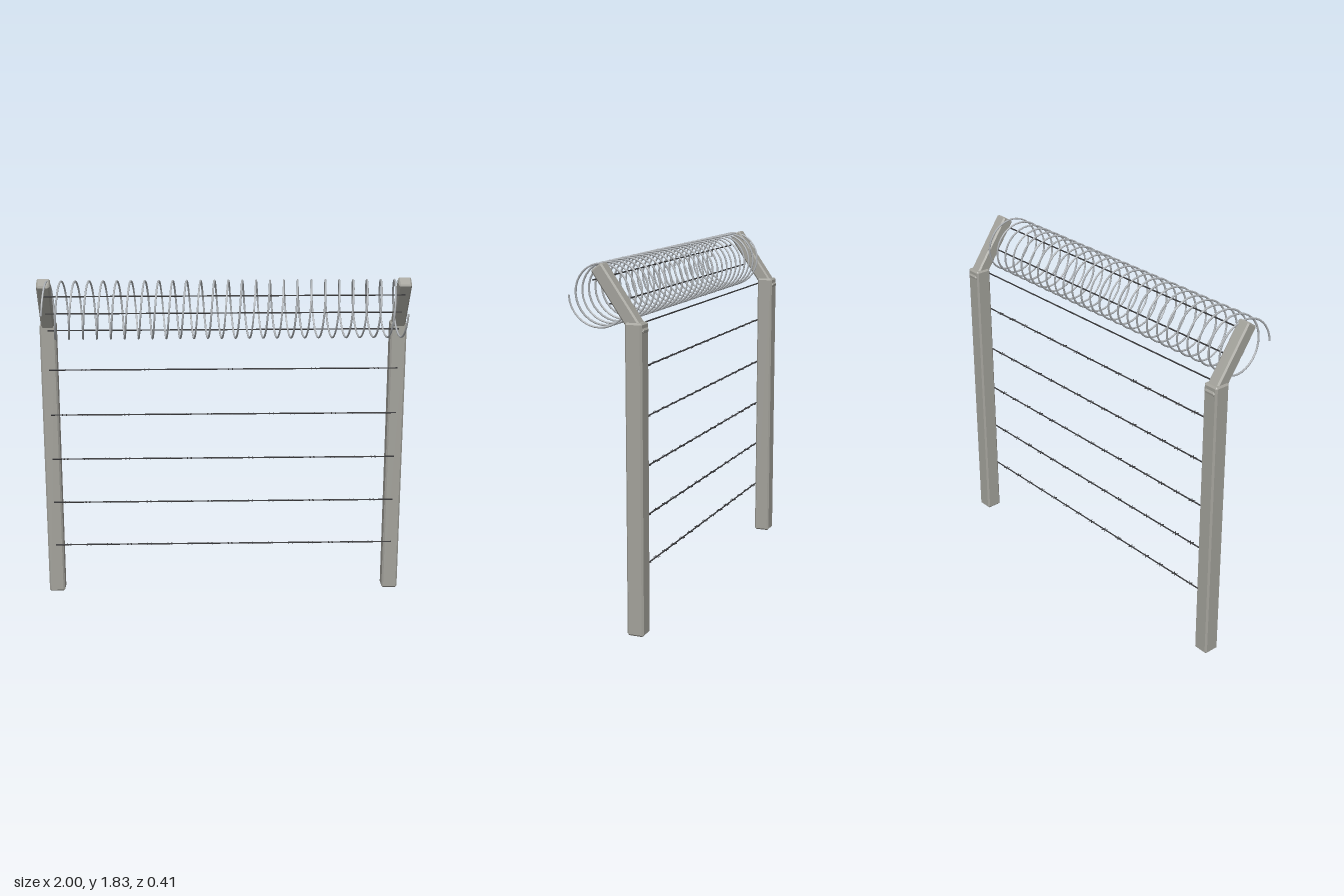
import * as THREE from 'three';
import { ConvexGeometry } from 'three/addons/geometries/ConvexGeometry.js';

const POST_X = 0.956;
const WIRE_END = 0.955;

function makeMaterial(name, color, side = THREE.FrontSide) {
  const material = new THREE.MeshStandardMaterial({ color, side });
  material.name = name;
  return material;
}
const concrete = makeMaterial('concrete', 0xa3a29b);
const darkSteel = makeMaterial('darkSteel', 0x3a3a3c);
const brightSteel = makeMaterial('brightSteel', 0xb0b4b8, THREE.DoubleSide);

function add(parent, name, geometry, material, x = 0, y = 0, z = 0) {
  const mesh = new THREE.Mesh(geometry, material);
  mesh.name = name;
  mesh.position.set(x, y, z);
  parent.add(mesh);
  return mesh;
}

// Box with every edge cut off at 45 degrees
function chamferBox(w, h, d, c) {
  const points = [];
  for (const sx of [-0.5, 0.5]) for (const sy of [-0.5, 0.5]) for (const sz of [-0.5, 0.5]) {
    const [ix, iy, iz] = [sx * (w - 2 * c), sy * (h - 2 * c), sz * (d - 2 * c)];
    points.push(
      new THREE.Vector3(sx * w, iy, iz),
      new THREE.Vector3(ix, sy * h, iz),
      new THREE.Vector3(ix, iy, sz * d)
    );
  }
  return new ConvexGeometry(points);
}

// Helix around the x axis, starting and ending at its front
class Helix extends THREE.Curve {
  constructor(radius, turns, halfLength) {
    super();
    Object.assign(this, { radius, turns, halfLength });
  }
  getPoint(t, target = new THREE.Vector3()) {
    const a = t * this.turns * Math.PI * 2;
    return target.set(
      (2 * t - 1) * this.halfLength,
      Math.sin(a) * this.radius,
      Math.cos(a) * this.radius
    );
  }
}

export function createModel() {
  const fence = new THREE.Group();
  fence.name = 'barbedWireFence';

  // Upright posts with arms leaning towards the front
  const postGeo = chamferBox(0.088, 1.56, 0.088, 0.009);
  const armGeo = chamferBox(0.07, 0.388, 0.068, 0.008);
  for (const [side, s] of [['left', 1], ['right', -1]]) {
    add(fence, side + 'Post', postGeo, concrete, s * POST_X, 0.78, -0.153);
    const arm = add(fence, side + 'Arm', armGeo, concrete, s * POST_X, 1.658, -0.069);
    arm.rotation.x = THREE.MathUtils.degToRad(35);
  }

  // Straight strands
  const wireGeo = new THREE.CylinderGeometry(0.0038, 0.0038, WIRE_END * 2, 6).rotateZ(Math.PI / 2);
  const barbGeo = new THREE.CylinderGeometry(0.002, 0.002, 0.036, 5).rotateX(Math.PI / 2);

  // Barbed strands between the posts: crossed spikes at even spacing
  for (let i = 0; i < 5; i++) {
    const strand = new THREE.Group();
    strand.name = 'barbedStrand' + (i + 1);
    strand.position.set(0, 0.288 + i * 0.255, -0.103);
    fence.add(strand);
    add(strand, 'wire', wireGeo, darkSteel);
    for (let j = 0; j < 16; j++) {
      for (const turn of [-1, 1]) {
        add(strand, 'barb', barbGeo, darkSteel, -0.88 + j * 0.1145).rotation.y = turn * Math.PI / 4;
      }
    }
  }

  // Plain strands along the arms
  for (let i = 0; i < 3; i++) {
    add(fence, 'armStrand' + (i + 1), wireGeo, darkSteel, 0, 1.528 + i * 0.11, -0.105 + i * 0.09);
  }

  // Coiled wire
  const coilGeo = new THREE.TubeGeometry(new Helix(0.152, 26, WIRE_END), 26 * 32, 0.0052, 6);
  add(fence, 'wireCoil', coilGeo, brightSteel, 0, 1.671, 0.05);

  return fence;
}
